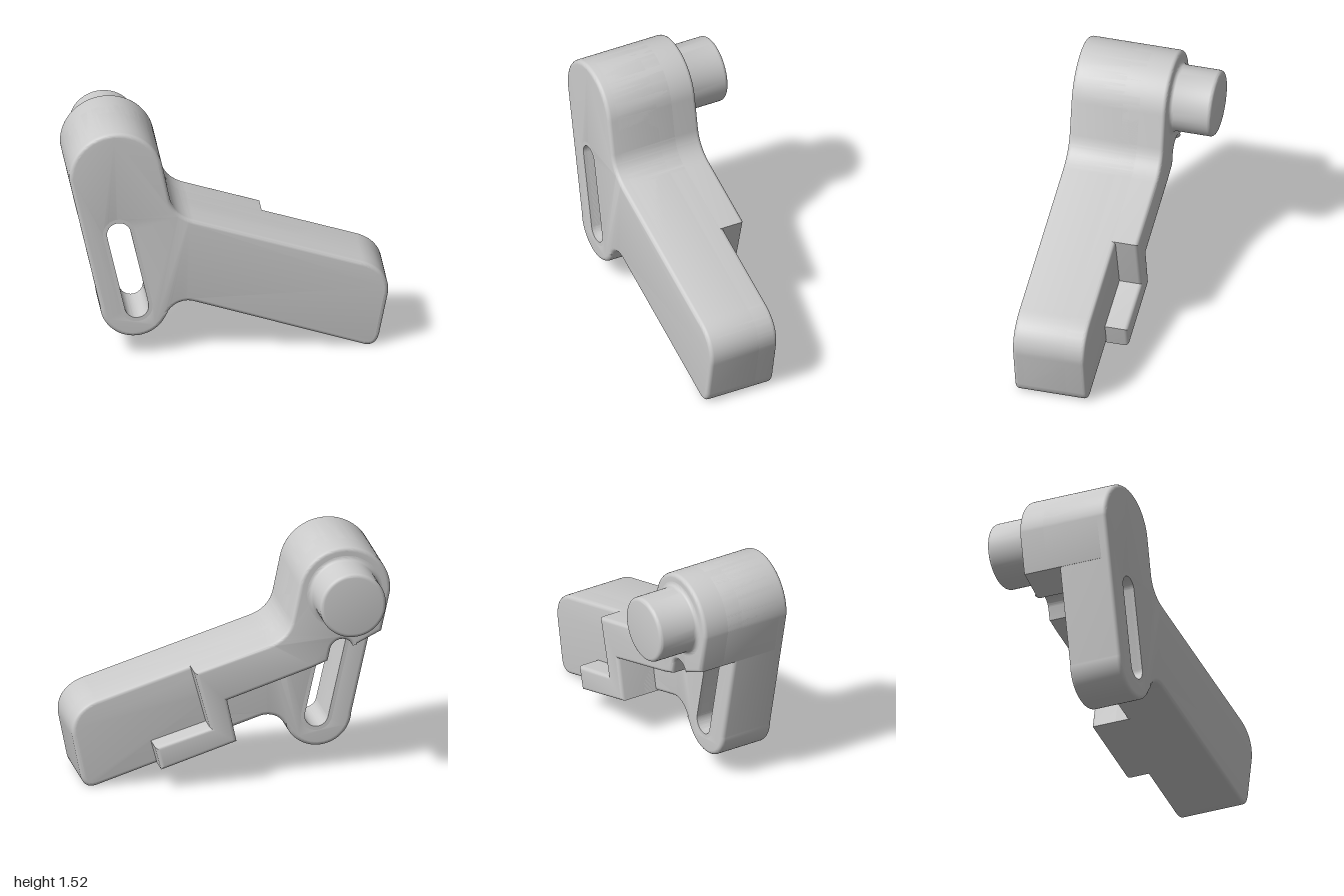
import * as THREE from 'three';
import { toCreasedNormals } from 'three/addons/utils/BufferGeometryUtils.js';

const HEAD = [-0.705, 1.225, 0.295];
const LOBE = [-0.59, 0.345, 0.215];
const SLOT_TOP = [-0.69, 0.835], SLOT_LOW = [-0.578, 0.335];
const SLOT_R = 0.075, BEVEL = 0.025;
const FRONT = 0.44;

const material = new THREE.MeshStandardMaterial({ color: 0xcccccc });

function addMesh(group, name, geometry) {
  const mesh = new THREE.Mesh(toCreasedNormals(geometry, 0.5), material);
  mesh.name = name;
  group.add(mesh);
  return mesh;
}

// Prism between two z values, with edges rounded inward by bevel
function slab(shape, back, front, bevel = BEVEL) {
  const geometry = new THREE.ExtrudeGeometry(shape, {
    depth: front - back - 2 * bevel, bevelEnabled: bevel > 0, bevelSize: bevel,
    bevelThickness: bevel, bevelOffset: -bevel, bevelSegments: 4, curveSegments: 24,
  });
  return geometry.translate(0, 0, back + bevel);
}

// Tilted slot outline, grown by a margin
function slotPath(path, margin) {
  const r = SLOT_R + margin, a = 0.22;
  path.absarc(...SLOT_TOP, r, a, a + Math.PI, false);
  path.absarc(...SLOT_LOW, r, a + Math.PI, a + 2 * Math.PI, false);
  path.closePath();
  return path;
}

// Head and the fillet into the top of the arm
function headToArm(shape) {
  shape.absarc(...HEAD, 3.18, 0.19, true);
  shape.lineTo(-0.37, 1.06);
  shape.quadraticCurveTo(-0.345, 0.945, -0.22, 0.905);
}

// Rounded arm tip, ending on the underside
function armTip(shape) {
  shape.lineTo(0.83, 0.575);
  shape.bezierCurveTo(0.95, 0.54, 1.02, 0.45, 0.995, 0.33);
  shape.lineTo(0.945, 0.08);
  shape.quadraticCurveTo(0.925, -0.018, 0.84, 0.008);
}

// Edge of the rear recess, passing over the top of the slot
function recessEdge(shape) {
  shape.lineTo(-0.02, 0.284);
  shape.lineTo(0.04, 0.56);
  shape.lineTo(-0.5, 0.735);
  shape.lineTo(-0.6, 0.775);
  shape.absarc(...SLOT_TOP, SLOT_R, 0.22, 2.8, false);
  shape.lineTo(-0.942, 0.95);
}

export function createModel() {
  const group = new THREE.Group();

  // Full lever outline with the slot
  const plate = new THREE.Shape();
  headToArm(plate);
  armTip(plate);
  plate.lineTo(-0.21, 0.345);
  plate.bezierCurveTo(-0.29, 0.375, -0.365, 0.33, -0.392, 0.261);
  plate.absarc(...LOBE, -0.4, -3.1, true);
  plate.closePath();
  plate.holes.push(slotPath(new THREE.Path(), 0));
  addMesh(group, 'leverPlate', slab(plate, 0.08, FRONT));

  // Lining keeps the slot rims crisp
  const lining = slotPath(new THREE.Shape(), BEVEL);
  lining.holes.push(slotPath(new THREE.Path(), 0));
  addMesh(group, 'slotLining', slab(lining, 0.08, FRONT, 0));

  // Thicker arm and head behind the plate
  const arm = new THREE.Shape();
  arm.moveTo(-0.942, 0.95);
  headToArm(arm);
  armTip(arm);
  recessEdge(arm);
  addMesh(group, 'armBody', slab(arm, -0.025, 0.4));

  // Raised rear pad with its stepped ledge
  const pad = new THREE.Shape();
  pad.moveTo(-0.942, 0.95);
  headToArm(pad);
  pad.lineTo(0.25, 0.757);
  pad.lineTo(0.15, 0.385);
  pad.lineTo(0.5, 0.28);
  pad.lineTo(0.46, 0.13);
  recessEdge(pad);
  addMesh(group, 'rearPad', slab(pad, -0.17, 0.4));

  // Pivot pin with a base fillet and a rounded end
  const profile = [new THREE.Vector2(0.24, -0.01)];
  for (let i = 0; i <= 5; i++) {
    const a = (i / 5) * Math.PI / 2;
    profile.push(new THREE.Vector2(0.24 - 0.03 * Math.sin(a), 0.03 - 0.03 * Math.cos(a)));
  }
  for (let i = 0; i <= 5; i++) {
    const a = (i / 5) * Math.PI / 2;
    profile.push(new THREE.Vector2(0.185 + 0.025 * Math.cos(a), 0.245 + 0.025 * Math.sin(a)));
  }
  profile.push(new THREE.Vector2(0, 0.27));
  const pin = addMesh(group, 'pivotPin', new THREE.LatheGeometry(profile, 64));
  pin.rotation.x = -Math.PI / 2;
  pin.position.set(HEAD[0], HEAD[1], -0.17);

  return group;
}
